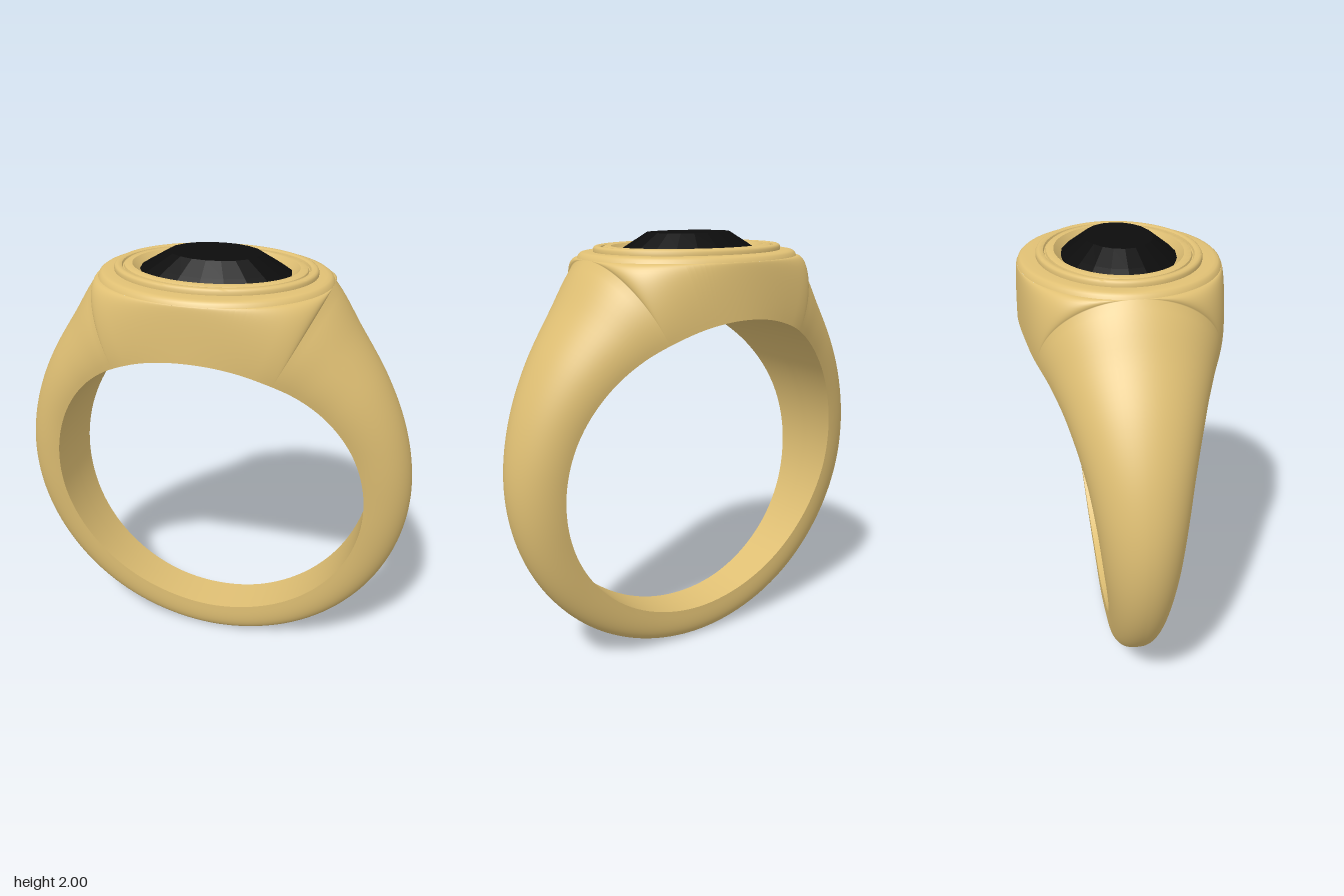
import * as THREE from 'three';
import { mergeGeometries, mergeVertices, toCreasedNormals } from 'three/addons/utils/BufferGeometryUtils.js';

const CY = 0.91, INNER = 0.745;              // finger hole centre height and radius
const RIM = { a: 0.52, b: 0.44, y: 1.895 };  // oval edge where the flanks meet the top
const HOLE = { a: 0.2, b: 0.15 };            // oval opening under the stone
const RAD = Math.PI / 180;
const RIM_ANGLE = Math.atan(RIM.a / (RIM.y - CY));
const HOLE_ANGLE = Math.asin(HOLE.a / INNER);

// Smooth curve through [angle in degrees, value] pairs
function curve(pts) {
  const slope = (i) => {
    if (i === 0 || i === pts.length - 1) return pts[0][0] === 0 || i > 0 ? 0 : (pts[1][1] - pts[0][1]) / (pts[1][0] - pts[0][0]);
    return (pts[i + 1][1] - pts[i - 1][1]) / (pts[i + 1][0] - pts[i - 1][0]);
  };
  return (theta) => {
    const d = Math.abs(theta) / RAD;
    let i = 0;
    while (i < pts.length - 2 && d > pts[i + 1][0]) i++;
    const h = pts[i + 1][0] - pts[i][0], t = (d - pts[i][0]) / h, t2 = t * t, t3 = t2 * t;
    return (2 * t3 - 3 * t2 + 1) * pts[i][1] + (t3 - 2 * t2 + t) * h * slope(i)
      + (3 * t2 - 2 * t3) * pts[i + 1][1] + (t3 - t2) * h * slope(i + 1);
  };
}

// Half width of the band and its outer radius, by angle from the top
const halfWidth = curve([[0, 0.45], [22, 0.41], [37.6, 0.335], [49, 0.285], [67, 0.225],
  [83, 0.19], [98.5, 0.165], [115, 0.14], [133, 0.12], [160, 0.102], [180, 0.1]]);
const shankRadius = curve([[RIM_ANGLE / RAD, 1.114], [39.4, 1.023], [52.9, 0.976], [70, 0.95],
  [90, 0.94], [135, 0.922], [180, 0.91]]);

// Surface from rows of points
function grid(rows, flip = false) {
  const n = rows[0].length, index = [];
  for (let i = 0; i < rows.length - 1; i++) {
    for (let j = 0; j < n - 1; j++) {
      const a = i * n + j, b = a + n, c = b + 1, d = a + 1;
      index.push(...(flip ? [a, c, b, a, d, c] : [a, b, c, a, c, d]));
    }
  }
  const geo = new THREE.BufferGeometry();
  geo.setAttribute('position', new THREE.Float32BufferAttribute(rows.flat(2), 3));
  geo.setIndex(index);
  return geo;
}

// Front half joined with its mirror image at the back
function bothSides(rows) {
  const back = rows.map((r) => r.map(([x, y, z]) => [x, y, -z]));
  const geo = mergeVertices(mergeGeometries([grid(rows), grid(back, true)]), 1e-5);
  geo.computeVertexNormals();
  return geo;
}

// Stack of ovals [half x, half z, height]; height may depend on x
function ovalLoft(rings, sides) {
  return grid(rings.map(([a, b, y]) => Array.from({ length: sides + 1 }, (_, k) => {
    const p = ((k % sides) / sides) * Math.PI * 2, x = a * Math.cos(p);
    return [x, typeof y === 'function' ? y(x) : y, b * Math.sin(p)];
  })));
}

// Angles around the ring, denser where the oval outlines close
function ringAngles() {
  const half = [0, RIM_ANGLE, HOLE_ANGLE];
  for (let i = 1; i < 32; i++) {
    const s = Math.sin((i / 32) * Math.PI / 2);
    half.push(Math.atan(RIM.a * s / (RIM.y - CY)));
    if (i % 2) half.push(Math.asin(HOLE.a * s / INNER));
  }
  for (let i = 1; i <= 70; i++) half.push(RIM_ANGLE + (Math.PI - RIM_ANGLE) * i / 70);
  half.sort((p, q) => p - q);
  return [...half.slice(1).reverse().map((t) => -t), ...half];
}

const oval = (x, { a, b }) => b * Math.sqrt(Math.max(0, 1 - (x / a) ** 2));
const polar = (t, r, z) => [r * Math.sin(t), CY + r * Math.cos(t), z];

export function createModel() {
  const ring = new THREE.Group();
  ring.name = 'signetRing';
  const gold = new THREE.MeshStandardMaterial({ color: 0xe0c074 });
  const black = new THREE.MeshStandardMaterial({ color: 0x0c0c0c, flatShading: true });
  const add = (name, geo, mat) => {
    const mesh = new THREE.Mesh(geo, mat);
    mesh.name = name;
    ring.add(mesh);
  };
  const angles = ringAngles();

  // Outer shell: domed band that opens into the oval head
  const STEPS = 20;
  add('band', bothSides(angles.map((t) => {
    const head = Math.abs(t) <= RIM_ANGLE;
    const R = head ? (RIM.y - CY) / Math.cos(t) : shankRadius(t);
    const e = head ? oval((RIM.y - CY) * Math.tan(t), RIM) : 0;
    const w = halfWidth(t);
    const p = 1 - 0.35 * THREE.MathUtils.smoothstep(Math.abs(t), 1.4, Math.PI);
    return Array.from({ length: STEPS + 1 }, (_, j) => {
      const a = (j / STEPS) * Math.PI / 2;
      const c = j === STEPS ? 0 : Math.cos(a) ** p;
      return polar(t, INNER + (R - INNER) * Math.sin(a) ** p, e + (w - e) * c);
    });
  })), gold);

  // Finger hole surface, with the oval opening below the stone
  add('innerBand', bothSides(angles.map((t) => {
    const h = Math.abs(t) <= HOLE_ANGLE + 1e-9 ? oval(INNER * Math.sin(t), HOLE) : 0;
    const w = halfWidth(t);
    return Array.from({ length: 7 }, (_, j) => polar(t, INNER, h + (w - h) * j / 6));
  })), gold);

  // Top face, raised double bezel, seat and the hole through to the finger
  add('bezel', toCreasedNormals(ovalLoft([
    [RIM.a, RIM.b, RIM.y], [0.513, 0.434, 1.909], [0.502, 0.425, 1.917], [0.485, 0.41, 1.92],
    [0.45, 0.358, 1.92], [0.45, 0.358, 1.933], [0.446, 0.354, 1.941], [0.438, 0.346, 1.945],
    [0.424, 0.332, 1.945], [0.416, 0.324, 1.941], [0.412, 0.32, 1.932],
    [0.407, 0.315, 1.932], [0.404, 0.312, 1.94], [0.397, 0.305, 1.944], [0.37, 0.28, 1.944],
    [0.335, 0.25, 1.9], [0.3, 0.225, 1.86], [HOLE.a, HOLE.b, 1.84],
    [HOLE.a, HOLE.b, (x) => CY + Math.sqrt(INNER ** 2 - x * x)],
  ], 128), 0.65), gold);

  // Faceted oval stone
  add('stone', ovalLoft([
    [0, 0, 1.835], [0.19, 0.14, 1.845], [0.33, 0.245, 1.905], [0.337, 0.25, 1.922],
    [0.3, 0.22, 1.945], [0.205, 0.148, 2], [0, 0, 2],
  ], 20), black);
  ring.getObjectByName('stone').geometry.computeVertexNormals();
  return ring;
}
